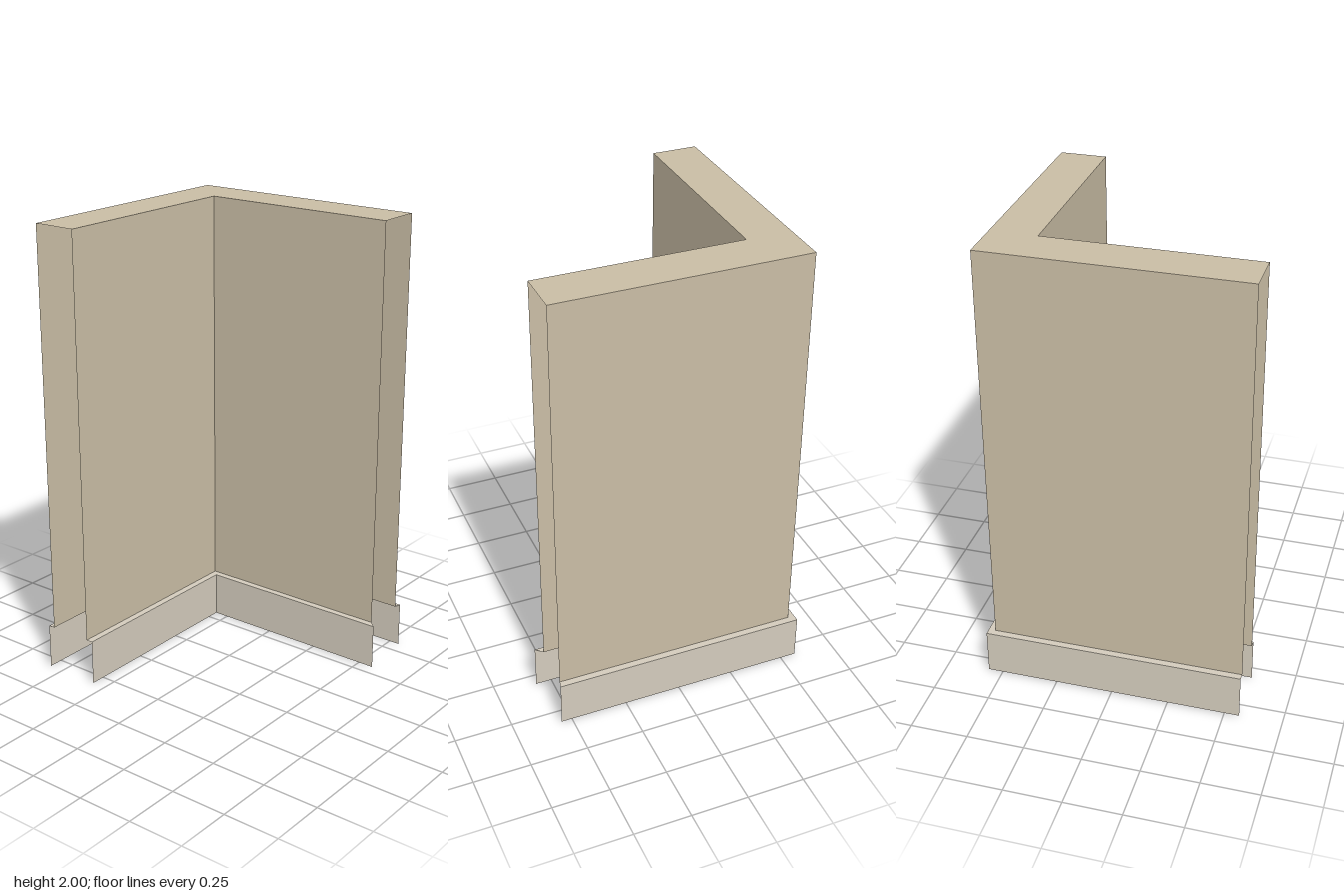
import * as THREE from 'three';

const HEIGHT = 2, SKIRT = 0.2;

// L-shaped plan lines as [x, z], each running with its visible side to the right
const wallOuter = [[0.54, -0.535], [-0.54, -0.535], [-0.54, 0.565]];
const wallInner = [[-0.345, 0.565], [-0.345, -0.335], [0.54, -0.335]];
const skirtOuter = [[0.547, -0.565], [-0.57, -0.565], [-0.57, 0.565]];
const skirtInner = [[-0.315, 0.565], [-0.315, -0.305], [0.57, -0.305]];

// Flat quads joining line a at height ya to line b at height yb
function strip(name, a, ya, b, yb, material) {
  const pos = [];
  for (let i = 0; i < a.length - 1; i++) {
    const p = (line, k, y) => [line[k][0], y, line[k][1]];
    const a0 = p(a, i, ya), a1 = p(a, i + 1, ya);
    const b0 = p(b, i, yb), b1 = p(b, i + 1, yb);
    pos.push(...a0, ...a1, ...b1, ...a0, ...b1, ...b0);
  }
  const geometry = new THREE.BufferGeometry();
  geometry.setAttribute('position', new THREE.Float32BufferAttribute(pos, 3));
  geometry.computeVertexNormals();
  const mesh = new THREE.Mesh(geometry, material);
  mesh.name = name;
  return mesh;
}

export function createModel() {
  const wallMat = new THREE.MeshStandardMaterial({ color: 0xc9bda5, side: THREE.DoubleSide });
  const skirtMat = new THREE.MeshStandardMaterial({ color: 0xd3cbbc, side: THREE.DoubleSide });

  // Hollow corner wall, open at both ends and underneath
  const wall = new THREE.Group();
  wall.name = 'cornerWall';
  wall.add(
    strip('outerWall', wallOuter, SKIRT, wallOuter, HEIGHT, wallMat),
    strip('innerWall', wallInner, SKIRT, wallInner, HEIGHT, wallMat),
    strip('wallTop', wallInner, HEIGHT, [...wallOuter].reverse(), HEIGHT, wallMat),
  );

  // Skirting boards: upright face and the narrow ledge back to the wall
  const skirting = new THREE.Group();
  skirting.name = 'skirting';
  for (const [side, line, wallLine] of [['outer', skirtOuter, wallOuter], ['inner', skirtInner, wallInner]]) {
    skirting.add(
      strip(side + 'SkirtingFace', line, 0, line, SKIRT, skirtMat),
      strip(side + 'SkirtingLedge', line, SKIRT, wallLine, SKIRT, skirtMat),
    );
  }

  const model = new THREE.Group();
  model.name = 'wallCorner';
  model.add(wall, skirting);
  return model;
}
